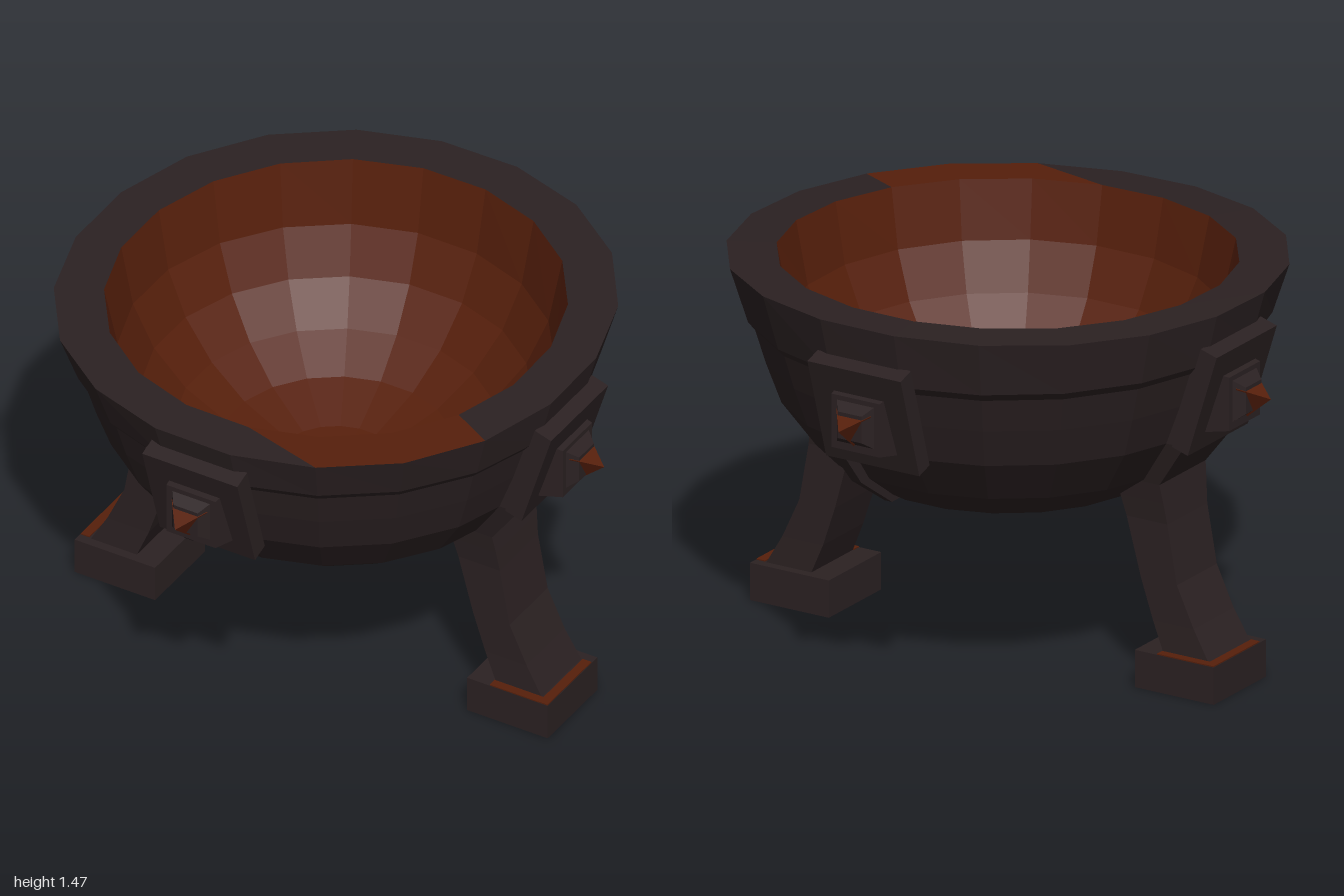
import * as THREE from 'three';

const SIDES = 20;
const STEP = (Math.PI * 2) / SIDES;

const iron = new THREE.MeshStandardMaterial({ color: 0x2b2122, flatShading: true });
iron.name = 'dark iron';
const rust = new THREE.MeshStandardMaterial({ color: 0x561f0b, flatShading: true });
rust.name = 'rust orange';

function add(parent, name, geometry, material, x = 0, y = 0, z = 0) {
  const mesh = new THREE.Mesh(geometry, material);
  mesh.name = name;
  mesh.position.set(x, y, z);
  parent.add(mesh);
  return mesh;
}

// The rim is slightly out of round and sags unevenly, lowest at the front
function warp(geometry) {
  const p = geometry.attributes.position;
  for (let i = 0; i < p.count; i++) {
    const x = p.getX(i), y = p.getY(i), z = p.getZ(i);
    if (y < 1.4) continue;
    const k = 1 - 0.05 * (x * z) ** 2;
    p.setXYZ(i, x * k, y + 0.015 * x - 0.02 * z - 0.01 * z * z, z * k * 0.987);
  }
  return geometry;
}

function lathe(profile, first = 0, count = SIDES) {
  const points = profile.map(([r, y]) => new THREE.Vector2(r, y));
  return warp(new THREE.LatheGeometry(points, count, first * STEP, count * STEP));
}

// Box whose rows follow [y, inner radius, outer radius, left x, right x], top to bottom
function strap(rows) {
  const n = rows.length - 1;
  const g = new THREE.BoxGeometry(1, 1, 1, 1, n, 1);
  const p = g.attributes.position;
  for (let i = 0; i < p.count; i++) {
    const [y, rIn, rOut, x0, x1] = rows[Math.round((0.5 - p.getY(i)) * n)];
    p.setXYZ(i, p.getX(i) > 0 ? x1 : x0, y, p.getZ(i) > 0 ? rOut : rIn);
  }
  return g;
}

// Square frustum pointing outward along +z, sized by half-widths
function frustum(outer, inner, depth) {
  return new THREE.CylinderGeometry(outer * Math.SQRT2, inner * Math.SQRT2, depth, 4)
    .rotateY(Math.PI / 4).rotateX(Math.PI / 2);
}

function createBowl() {
  const bowl = new THREE.Group();
  bowl.name = 'bowl';
  add(bowl, 'outerShell', lathe([
    [0, 0.56], [0.15, 0.575], [0.31, 0.59], [0.36, 0.61], [0.54, 0.67], [0.69, 0.78],
    [0.815, 0.95], [0.87, 1.1], [0.91, 1.23], [0.935, 1.26], [1, 1.45]]), iron);
  add(bowl, 'rustyInside', lathe([
    [0.82, 1.45], [0.77, 1.21], [0.69, 1.04], [0.57, 0.9], [0.42, 0.8], [0.22, 0.73], [0, 0.7]]), rust);

  // Rim top, with a rusted stretch at the front
  const rim = [[1, 1.45], [0.82, 1.45]];
  add(bowl, 'rim', lathe(rim, 1, SIDES - 3), iron);
  add(bowl, 'rustyRim', lathe(rim, -1, 2), rust);
  const at = (r, k) => [r * Math.sin(k * STEP), 1.45, r * Math.cos(k * STEP)];
  const triangle = (a, b, c) => {
    const g = new THREE.BufferGeometry();
    g.setAttribute('position', new THREE.Float32BufferAttribute([...a, ...b, ...c], 3));
    g.computeVertexNormals();
    return warp(g);
  };
  add(bowl, 'rimCorner', triangle(at(1, -2), at(1, -1), at(0.82, -2)), iron);
  add(bowl, 'rustyRimCorner', triangle(at(1, -1), at(0.82, -1), at(0.82, -2)), rust);
  return bowl;
}

// Plate with a stepped boss and a three-sided spike, built facing +z
function createMount() {
  const mount = new THREE.Group();
  mount.name = 'mount';
  add(mount, 'plate', new THREE.BoxGeometry(0.39, 0.41, 0.07), iron, 0, 1.13, 0.905).rotation.x = 0.3;
  add(mount, 'boss', frustum(0.1, 0.12, 0.11), iron, 0, 1.11, 0.935);
  add(mount, 'spikeBase', frustum(0.05, 0.09, 0.055), iron, 0, 1.115, 1.0);
  const tip = new THREE.CylinderGeometry(0, 0.085, 0.1, 3).rotateX(Math.PI / 2);
  add(mount, 'spikeTip', tip, rust, 0, 1.12, 1.05);
  return mount;
}

function createLeg() {
  const leg = new THREE.Group();
  leg.name = 'leg';
  const rows = [
    [1.32, 0.86, 0.97, 0.19], [0.95, 0.76, 0.86, 0.19], [0.77, 0.58, 0.73, 0.15],
    [0.7, 0.56, 0.74, 0.14], [0.62, 0.58, 0.75, 0.13], [0.4, 0.64, 0.79, 0.13],
    [0.25, 0.69, 0.86, 0.13], [0.13, 0.74, 0.93, 0.135]];
  add(leg, 'legStrap', strap(rows.map(([y, a, b, w]) => [y, a, b, -w, w])), iron);
  add(leg, 'foot', new THREE.BoxGeometry(0.34, 0.14, 0.33), iron, 0, 0.07, 0.805);
  // Rust settled on the foot
  add(leg, 'footRust', new THREE.BoxGeometry(0.3, 0.006, 0.036), rust, -0.018, 0.141, 0.95);
  add(leg, 'footRustSide', new THREE.BoxGeometry(0.034, 0.006, 0.2), rust, -0.152, 0.141, 0.832);
  return leg;
}

// Thin tapering rib left below the plates that carry no leg
function createRib() {
  const mesh = new THREE.Mesh(strap([
    [1.32, 0.86, 0.97, -0.2, -0.15], [0.95, 0.76, 0.86, -0.2, -0.15],
    [0.78, 0.6, 0.72, -0.19, -0.15], [0.645, 0.42, 0.52, -0.18, -0.15]]), iron);
  mesh.name = 'rib';
  return mesh;
}

export function createModel() {
  const model = new THREE.Group();
  model.name = 'brazier';
  model.add(createBowl());
  // Four diagonal mounts; every other one has a leg
  for (let i = 0; i < 4; i++) {
    const corner = new THREE.Group();
    corner.name = 'corner' + (i + 1);
    corner.rotation.y = Math.PI / 4 + (i * Math.PI) / 2;
    corner.add(createMount(), i % 2 ? createRib() : createLeg());
    model.add(corner);
  }
  return model;
}
